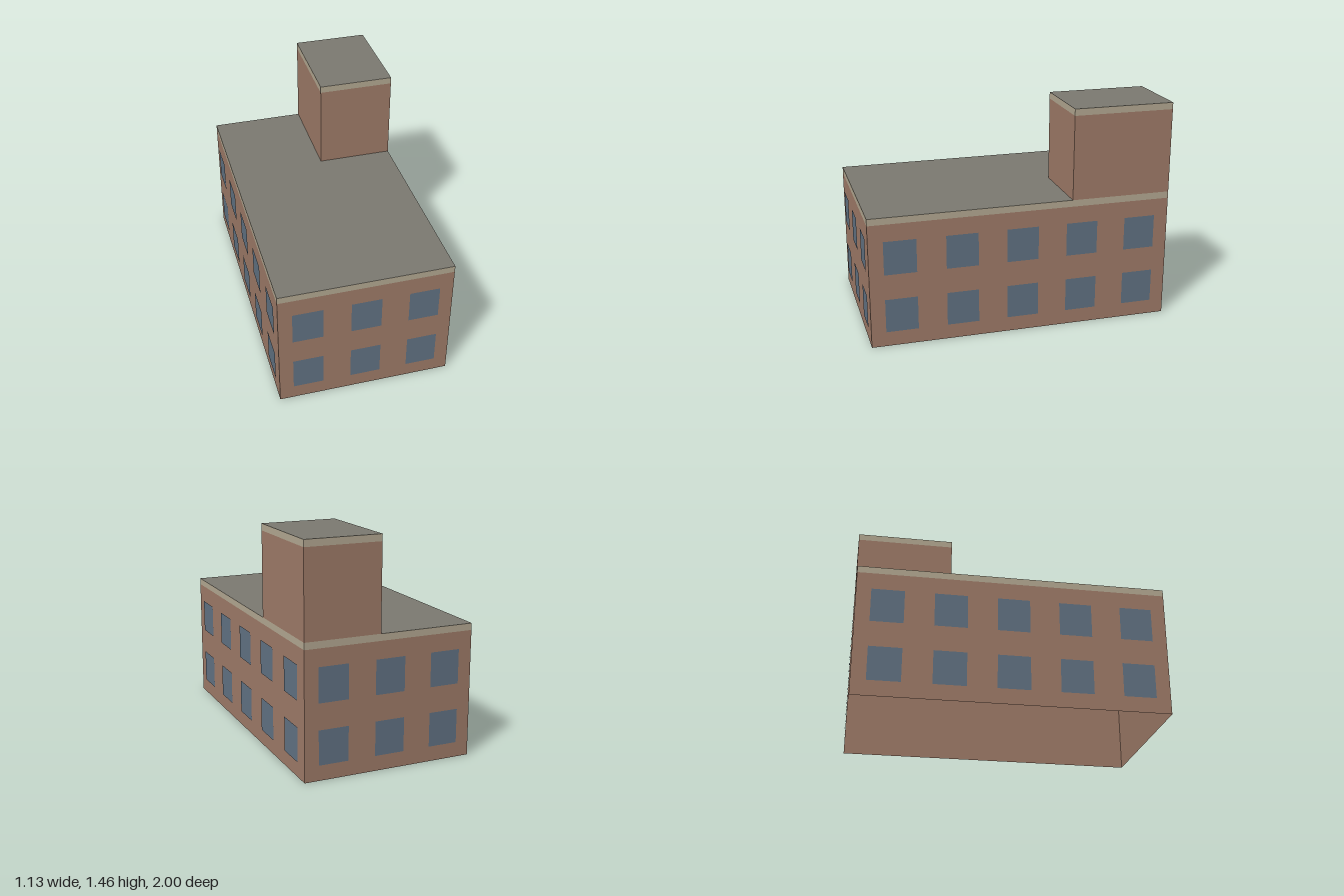
import * as THREE from 'three';

const HALF_W = 0.5625, HALF_D = 0.995;

const paint = (name, color) =>
  new THREE.MeshStandardMaterial({ name, color, side: THREE.DoubleSide });

// Four upright walls with no top or bottom, standing on y = 0
function wallRing(width, height, depth) {
  const ring = new THREE.CylinderGeometry(Math.SQRT1_2, Math.SQRT1_2, 1, 4, 1, true);
  ring.rotateY(Math.PI / 4);
  ring.scale(width, height, depth);
  ring.translate(0, height / 2, 0);
  const flat = ring.toNonIndexed();
  flat.computeVertexNormals();
  return flat;
}

export function createModel() {
  const brick = paint('brick', 0xa07c69);
  const trim = paint('cream trim', 0xb5aa93);
  const roofing = paint('grey roofing', 0x7c7a71);
  const glass = paint('blue glass', 0x627384);
  const model = new THREE.Group();
  model.name = 'building';

  function add(parent, name, geometry, material, x = 0, y = 0, z = 0) {
    const mesh = new THREE.Mesh(geometry, material);
    mesh.name = name;
    mesh.position.set(x, y, z);
    parent.add(mesh);
    return mesh;
  }

  // A hollow block: brick walls, a cream band at the top and a flat roof
  function addBlock(name, width, height, depth, x, y, z) {
    const band = 0.044;
    const block = new THREE.Group();
    block.name = name;
    block.position.set(x, y, z);
    add(block, 'walls', wallRing(width, height - band, depth), brick);
    add(block, 'trimBand', wallRing(width, band, depth), trim, 0, height - band, 0);
    const roof = new THREE.PlaneGeometry(width, depth).rotateX(-Math.PI / 2);
    add(block, 'roof', roof, roofing, 0, height, 0);
    model.add(block);
  }

  addBlock('mainBlock', HALF_W * 2, 0.865, HALF_D * 2, 0, 0, 0);

  // Tower on the back corner, flush with the walls below
  const towerW = 0.497, towerD = 0.663;
  addBlock('tower', towerW, 0.598, towerD, HALF_W - towerW / 2, 0.865, -HALF_D + towerD / 2);

  // Two rows of windows on each side, evenly spaced
  function addWindows(name, angle, wallWidth, wallOffset, columns, paneWidth) {
    const side = new THREE.Group();
    side.name = name;
    side.rotation.y = angle;
    const pane = new THREE.PlaneGeometry(paneWidth, 0.222);
    const pitch = wallWidth / columns;
    for (const y of [0.21, 0.599]) {
      for (let i = 0; i < columns; i++) {
        const x = (i - (columns - 1) / 2) * pitch;
        add(side, 'window', pane, glass, x, y, wallOffset + 0.005);
      }
    }
    model.add(side);
  }

  addWindows('frontWindows', 0, HALF_W * 2, HALF_D, 3, 0.196);
  addWindows('backWindows', Math.PI, HALF_W * 2, HALF_D, 3, 0.196);
  addWindows('leftWindows', Math.PI / 2, HALF_D * 2, HALF_W, 5, 0.209);
  addWindows('rightWindows', -Math.PI / 2, HALF_D * 2, HALF_W, 5, 0.209);

  return model;
}
